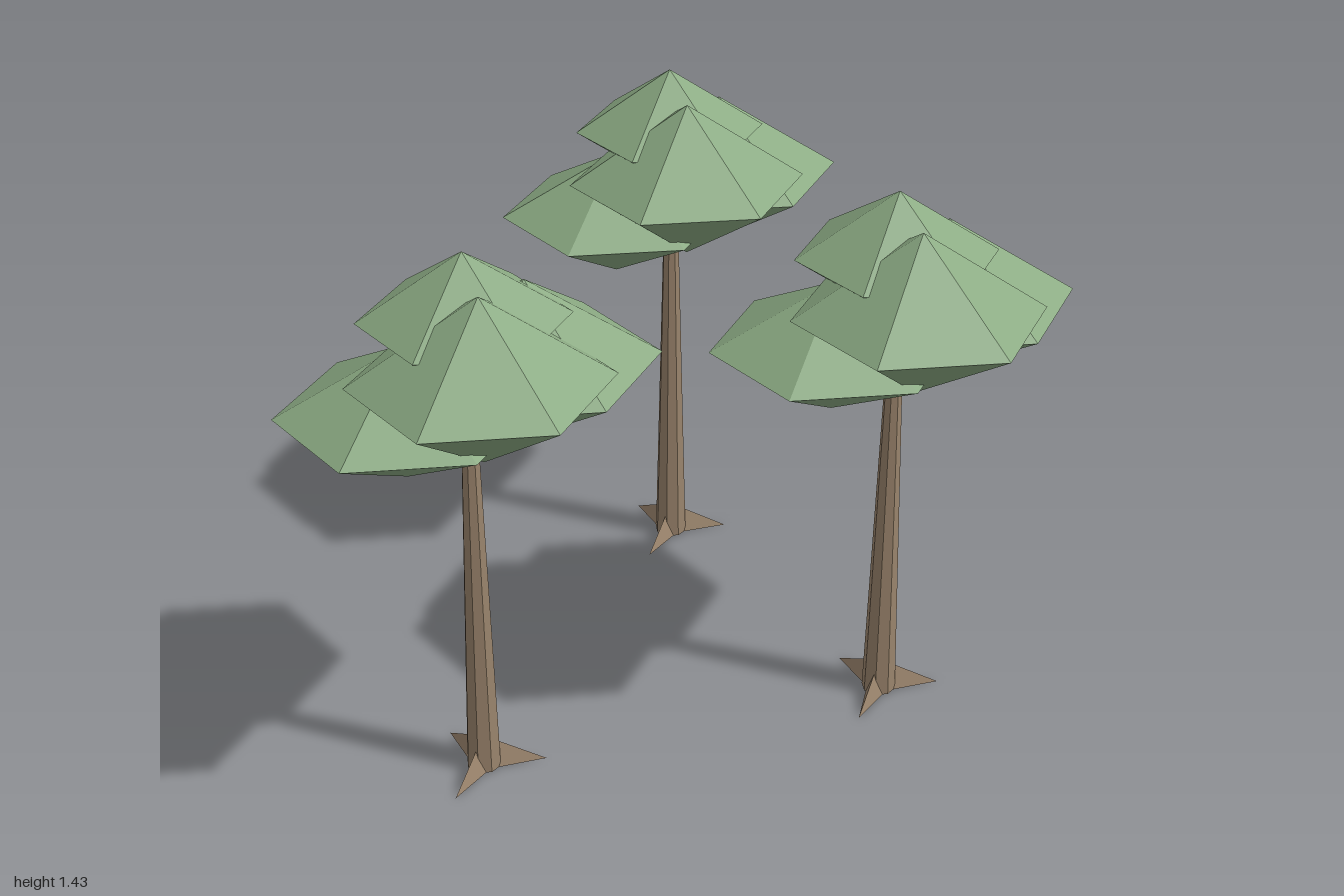
import * as THREE from 'three';
import { ConvexGeometry } from 'three/addons/geometries/ConvexGeometry.js';

const bark = new THREE.MeshStandardMaterial({ color: 0x9a846c, flatShading: true });
const leaves = new THREE.MeshStandardMaterial({ color: 0x8cab84, flatShading: true });

const TRUNK_HEIGHT = 1.02;
const ROOT_COUNT = 3;

// Leaf clumps relative to the trunk: centre x, y, z, radius, half height
const clumps = [
  [0, 1.26, -0.03, 0.255, 0.17],
  [-0.15, 1.02, -0.03, 0.312, 0.177],
  [0.145, 1.105, -0.1, 0.327, 0.212],
  [0.028, 1.17, 0.117, 0.316, 0.215],
];

// Trunk positions on the ground: x, z
const spots = [[-0.538, 0.519], [0.077, -0.549], [0.528, 0.311]];

function addMesh(parent, name, geometry, material) {
  const mesh = new THREE.Mesh(geometry, material);
  mesh.name = name;
  parent.add(mesh);
  return mesh;
}

function createTree() {
  const tree = new THREE.Group();
  tree.name = 'tree';

  // Tapered trunk, flat sides facing the axes
  const trunkGeometry = new THREE.CylinderGeometry(0.02, 0.045, TRUNK_HEIGHT, 8);
  trunkGeometry.rotateY(Math.PI / 8);
  addMesh(tree, 'trunk', trunkGeometry, bark).position.y = TRUNK_HEIGHT / 2;

  // Wedge-shaped roots with a sloping ridge, spread evenly round the trunk
  const rootGeometry = new ConvexGeometry([
    new THREE.Vector3(0.03, 0.07, 0),
    new THREE.Vector3(0.03, 0, 0.024),
    new THREE.Vector3(0.03, 0, -0.024),
    new THREE.Vector3(0.16, 0, 0),
  ]);
  for (let i = 0; i < ROOT_COUNT; i++) {
    addMesh(tree, 'root', rootGeometry, bark).rotation.y = (i * 2 * Math.PI) / ROOT_COUNT;
  }

  // Overlapping six-sided double pyramids form the crown
  const crown = new THREE.Group();
  crown.name = 'crown';
  const clumpGeometry = new THREE.SphereGeometry(1, 6, 2);
  for (const [x, y, z, radius, halfHeight] of clumps) {
    const clump = addMesh(crown, 'leafClump', clumpGeometry, leaves);
    clump.position.set(x, y, z);
    clump.scale.set(radius, halfHeight, radius);
  }
  tree.add(crown);
  return tree;
}

export function createModel() {
  const grove = new THREE.Group();
  grove.name = 'treeGrove';
  for (const [x, z] of spots) {
    const tree = createTree();
    tree.position.set(x, 0, z);
    grove.add(tree);
  }
  return grove;
}
